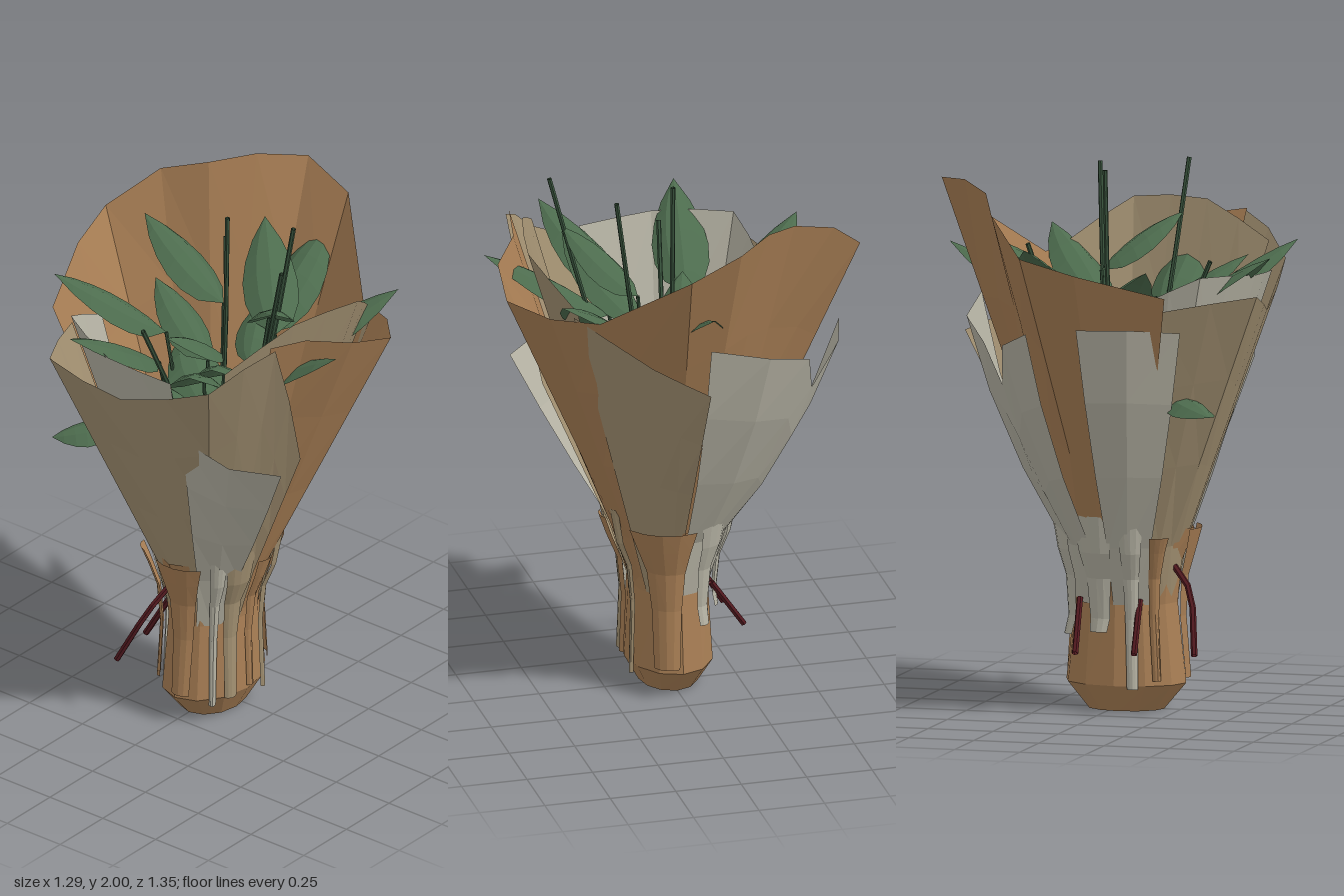
import * as THREE from 'three';

const mat = (name, color) => {
  const m = new THREE.MeshStandardMaterial({ color, flatShading: true, side: THREE.DoubleSide });
  m.name = name;
  return m;
};

// Surface through a grid of rows, each row a list of [x, y, z]
function loft(rows) {
  const n = rows[0].length, idx = [];
  for (let i = 0; i < rows.length - 1; i++)
    for (let j = 0; j < n - 1; j++) {
      const a = i * n + j, b = a + n;
      idx.push(a, b, a + 1, b, b + 1, a + 1);
    }
  const g = new THREE.BufferGeometry();
  g.setAttribute('position', new THREE.Float32BufferAttribute(rows.flat(2), 3));
  g.setIndex(idx);
  g.computeVertexNormals();
  return g;
}

// Point on an oval cross-section of the bouquet
const CX = -0.04;
const oval = (a, y, rx, rz) => [CX + rx * Math.cos(a), y, rz * Math.sin(a)];

// Paper sheet: falls from a jagged rim to the gathered waist, k sets its layer
function sheet(corners, k, bulge, folds) {
  const curve = new THREE.CatmullRomCurve3(corners.map(c => new THREE.Vector3(...c)), false, 'catmullrom', 0.25);
  const rim = curve.getPoints((corners.length - 1) * folds);
  const angles = rim.map(p => Math.atan2(p.z, p.x - CX));
  const rows = [0, 0.33, 0.67, 1].map(t => rim.map((p, i) => {
    const a = angles[i], w = new THREE.Vector3(...oval(a, 0.62, 0.22 * k, 0.21 * k));
    const b = bulge * Math.sin(Math.PI * t);
    w.lerp(p, 1 - t);
    return [w.x + b * Math.cos(a), w.y, w.z + b * Math.sin(a)];
  }));
  rows.push(angles.map(a => oval(a, 0.4, 0.185 * k, 0.14 * k)));
  return loft(rows);
}

// Strip of paper lying on the outside of the holder
function pleat(deg, width, top, bottom) {
  const a0 = THREE.MathUtils.degToRad(deg), half = width / 0.4;
  const levels = [[top, 0.272, 0.25], [0.6, 0.25, 0.222], [0.5, 0.222, 0.18], [0.35, 0.214, 0.164], [bottom, 0.232, 0.172]];
  return loft(levels.map(([y, rx, rz], i) => [-1, -0.5, 0, 0.5, 1].map(s => {
    const lift = 0.012 * (1 - s * s);
    return oval(a0 + s * half * (1 - i * 0.12), y, rx + lift, rz + lift);
  })));
}

// Pointed leaf, arched along its length and folded down from the midrib
function leaf(base, tip, width, arch) {
  const dir = tip.clone().sub(base);
  const side = new THREE.Vector3(-dir.z, 0, dir.x).normalize();
  const rows = [];
  for (let i = 0; i <= 6; i++) {
    const t = i / 6;
    const w = i % 6 ? width / 2 * Math.pow(Math.sin(Math.PI * Math.pow(t, 0.85)), 0.8) : 0;
    const c = base.clone().lerp(tip, t);
    c.y += arch * 4 * t * (1 - t);
    rows.push([-1, -0.5, 0, 0.5, 1].map(s =>
      [c.x + side.x * s * w, c.y - s * s * w * 0.6, c.z + side.z * s * w]));
  }
  return loft(rows);
}

function tube(points, r) {
  const path = new THREE.CurvePath();
  for (let i = 1; i < points.length; i++) path.add(new THREE.LineCurve3(points[i - 1], points[i]));
  return new THREE.TubeGeometry(path, (points.length - 1) * 2, r, 6, false);
}

export function createModel() {
  const brown = mat('kraft paper', 0xa97f55);
  const beige = mat('beige paper', 0xa39172);
  const grey = mat('pale paper', 0xb7b4a5);
  const green = mat('leaf green', 0x4d6c4e);
  const stemGreen = mat('stem green', 0x38523c);
  const red = mat('dark red ribbon', 0x541a20);
  const V = (x, y, z) => new THREE.Vector3(x, y, z);

  const model = new THREE.Group();
  const add = (name, geo, m) => {
    const mesh = new THREE.Mesh(geo, m);
    mesh.name = name;
    model.add(mesh);
  };

  // Gathered oval holder with a closed foot: height, x radius, z radius
  const holder = [[0, 0, 0], [0, 0.145, 0.11], [0.1, 0.23, 0.165], [0.4, 0.198, 0.148], [0.55, 0.212, 0.165], [0.68, 0.262, 0.17]];
  add('holder', loft(holder.map(h =>
    Array.from({ length: 13 }, (_, i) => oval(i / 6 * Math.PI, ...h)))), brown);

  // Main wrap, tall at the back left
  add('mainWrap', sheet([
    [-0.35, 1.8, 0.52], [-0.18, 1.77, 0.55], [-0.03, 1.73, 0.65], [0.17, 1.67, 0.67], [0.31, 1.64, 0.54], [0.38, 1.63, 0.37],
    [0.64, 1.87, 0.09], [0.64, 1.96, -0.1], [0.51, 1.975, -0.24], [0.39, 1.945, -0.37], [0.32, 1.89, -0.54],
    [0.17, 1.75, -0.68], [-0.03, 1.69, -0.65], [-0.34, 1.6, -0.52]], 1, 0, 1), brown);

  // Beige sheets: right side wrapping to the front, front left overlay and front lining
  add('sideSheet', sheet([
    [-0.1, 1.2, 0.46], [-0.34, 1.79, 0.535], [-0.54, 1.64, 0.38], [-0.58, 1.5, 0], [-0.63, 1.59, -0.3], [-0.3, 1.54, -0.46]], 1.02, 0, 2), beige);
  add('frontSheet', sheet([[0.34, 1.65, 0.46], [0.44, 1.45, 0.18], [0.58, 1.38, 0]], 1.04, 0, 2), beige);
  add('frontLining', sheet([
    [-0.47, 1.7, 0.4], [-0.2, 1.83, 0.51], [0.1, 1.82, 0.57], [0.32, 1.66, 0.44]], 0.95, 0, 2), beige);

  // Pale sheets: outer back with a notch, back right corner, outer side and side lining
  add('backSheet', sheet([
    [0.51, 1.53, -0.02], [0.5, 1.47, -0.25], [0.38, 1.4, -0.43], [0.3, 1.25, -0.46], [0.27, 1.41, -0.57], [0.17, 1.46, -0.6]],
    1.06, 0.04, 1), grey);
  add('cornerSheet', sheet([[-0.02, 1.48, -0.59], [-0.2, 1.48, -0.54], [-0.37, 1.46, -0.42]], 1.06, 0.02, 1), grey);
  add('outerSheet', sheet([[-0.3, 1.24, 0.53], [-0.42, 1.27, 0.38], [-0.47, 1.35, 0.2]], 1.06, 0.01, 1), grey);
  add('sideLining', sheet([
    [-0.54, 1.62, 0.2], [-0.56, 1.64, -0.08], [-0.43, 1.66, -0.36], [-0.2, 1.55, -0.4]], 0.95, 0, 2), grey);

  // Strips pressed against the holder: angle, width, upper and lower end
  for (const [deg, w, top, low, m] of [
    [20, 0.21, 0.68, 0.12, brown], [172, 0.16, 0.68, 0.12, brown], [-132, 0.06, 0.66, 0.12, brown], [90, 0.06, 0.68, 0.12, brown],
    [114, 0.09, 0.74, 0.1, beige], [68, 0.04, 0.74, 0.07, beige], [134, 0.05, 0.74, 0.08, grey],
    [-32, 0.11, 0.74, 0.28, grey], [-75, 0.12, 0.74, 0.3, grey], [-108, 0.07, 0.74, 0.09, grey],
  ]) add('pleat', pleat(deg, w, top, low), m);

  // Leaves rising outwards on stalks: base x, base z, tip x, tip z, tip height
  for (const [bx, bz, tx, tz, y] of [
    [-0.02, -0.24, -0.28, -0.56, 1.7], [-0.21, -0.12, -0.65, -0.19, 1.72], [-0.22, 0.1, -0.6, 0.34, 1.72],
    [-0.07, 0.1, -0.42, 0.3, 1.66], [0.18, -0.13, 0.2, -0.52, 1.76], [0.15, 0.14, 0.46, -0.16, 1.76],
    [0.1, 0.21, 0.4, 0.52, 1.72], [0.2, 0.04, 0.64, 0, 1.71], [0.1, 0.15, -0.15, 0.37, 1.8],
    [-0.12, 0.2, -0.15, 0.67, 1.72], [0.05, -0.02, -0.19, -0.1, 1.55], [0.04, 0.1, 0.25, 0, 1.55],
    [0.05, -0.1, 0.14, -0.42, 1.55],
  ]) {
    const length = Math.hypot(tx - bx, tz - bz);
    const base = V(bx, y - 0.6 * length, bz), tip = V(tx, y, tz);
    add('leaf', leaf(base, tip, 0.07 + 0.32 * length, 0.03), green);
    add('leafStalk', tube([V(bx * 0.25 - 0.02, 0.6, bz * 0.25), base], 0.007), stemGreen);
  }

  // Lower leaves filling the middle
  for (let i = 0; i < 5; i++) {
    const a = i * 2.4 + 0.4, c = Math.cos(a), s = Math.sin(a);
    add('lowerLeaf', leaf(V(CX + c * 0.04, 1.2, s * 0.04), V(CX + c * 0.3, 1.38, s * 0.3), 0.22, 0.05), green);
  }

  // Leaf poking out through the paper at the back
  add('backLeaf', leaf(V(-0.3, 1.2, -0.24), V(-0.48, 1.15, -0.41), 0.17, 0.02), green);

  // Bare stems rising above the paper
  for (const [x, y, z] of [[-0.158, 1.995, 0.418], [0.132, 1.995, 0.24], [0.042, 1.995, 0], [-0.38, 1.68, -0.06], [0.28, 1.74, -0.2]])
    add('stem', tube([V(x * 0.1 - 0.02, 0.6, z * 0.1), V(x * 0.75, 1.5, z * 0.7), V(x, y, z)], 0.009), stemGreen);

  // Ribbon ends hanging at the back
  for (const pts of [
    [V(-0.24, 0.54, -0.05), V(-0.32, 0.45, -0.09), V(-0.36, 0.23, -0.2)],
    [V(0.1, 0.42, -0.13), V(0.08, 0.23, -0.26)],
    [V(-0.13, 0.42, -0.13), V(-0.14, 0.23, -0.24)],
  ]) add('ribbonEnd', tube(pts, 0.012), red);

  return model;
}
